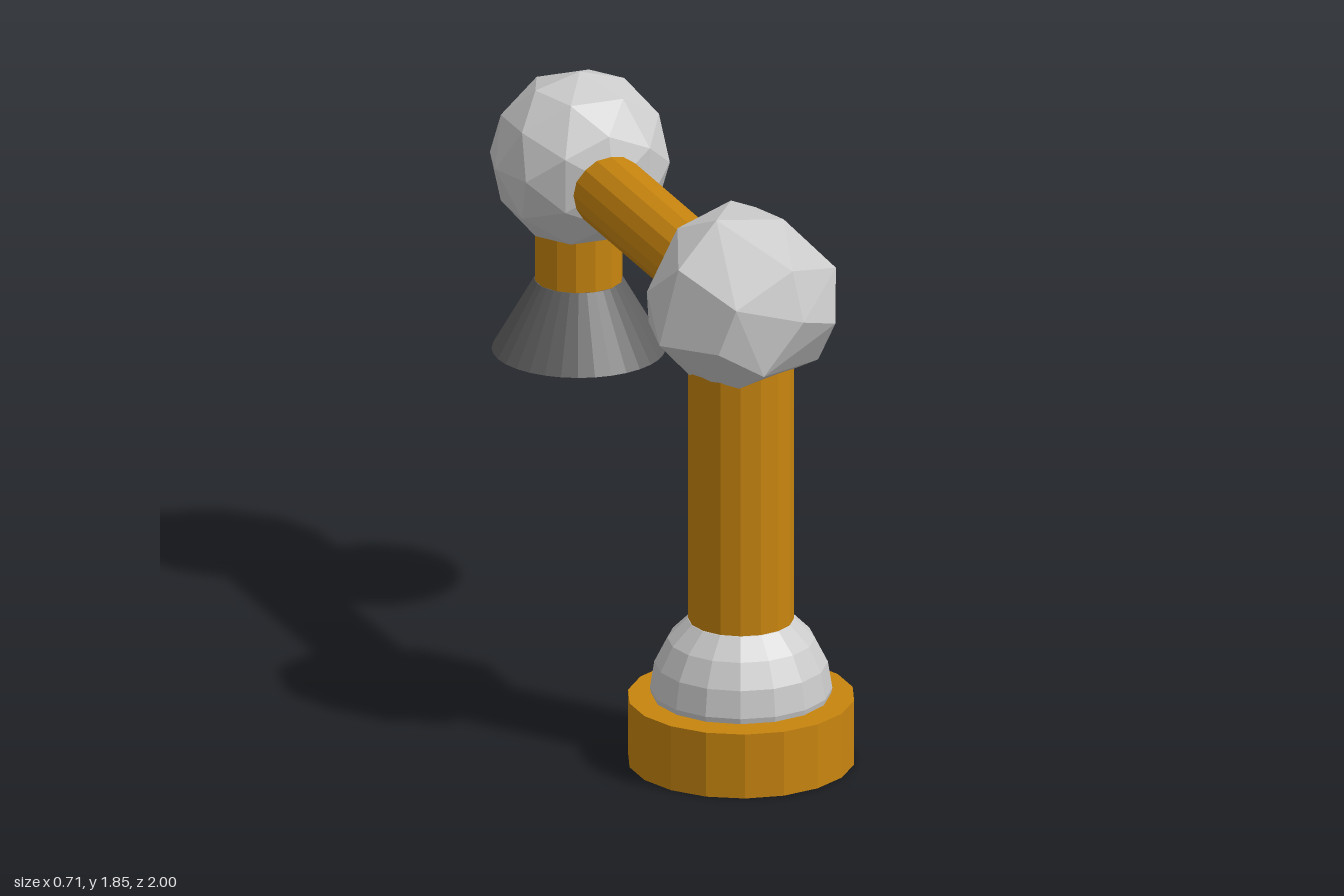
import * as THREE from 'three';
import { ConvexGeometry } from 'three/addons/geometries/ConvexGeometry.js';

const material = (color) => new THREE.MeshStandardMaterial({ color, flatShading: true });

export function createModel() {
  const model = new THREE.Group();
  model.name = 'robotArm';
  const orange = material(0xc8850f);
  const grey = material(0xcccccc);
  const dark = material(0x606060);

  const add = (name, geometry, mat, x, y, z) => {
    const mesh = new THREE.Mesh(geometry, mat);
    mesh.name = name;
    mesh.position.set(x, y, z);
    model.add(mesh);
    return mesh;
  };
  // Upright tapered cylinder between two heights
  const post = (name, rTop, rBottom, y0, y1, z, sides, mat) =>
    add(name, new THREE.CylinderGeometry(rTop, rBottom, y1 - y0, sides), mat, 0, (y0 + y1) / 2, z);

  const baseZ = 0.64, toolZ = -0.725;

  // Base plate and shoulder dome
  post('base', 0.36, 0.36, 0, 0.215, baseZ, 18, orange);
  const dome = new THREE.SphereGeometry(0.288, 16, 5, 0, Math.PI * 2, 0, Math.PI / 2);
  add('shoulderDome', dome, grey, 0, 0.24, baseZ);
  post('shoulderRim', 0.288, 0.284, 0.222, 0.24, baseZ, 16, grey);

  // Upright column
  post('column', 0.167, 0.167, 0.4, 1.4, baseZ, 16, orange);

  // Elbow: irregular faceted ball, the hull of a few corner points
  const corners = [
    [0.01, 1.84, 0.53], [0.1, 1.84, 0.75], [-0.1, 1.84, 0.68], [0.13, 1.77, 0.44],
    [0.27, 1.66, 0.77], [0.32, 1.51, 0.58], [0.23, 1.34, 0.72], [0.09, 1.56, 0.945],
    [0.24, 1.5, 0.84], [0.07, 1.72, 0.9], [-0.18, 1.47, 0.895], [-0.04, 1.39, 0.93],
    [-0.13, 1.62, 0.92], [-0.31, 1.46, 0.72], [-0.305, 1.6, 0.6], [-0.25, 1.71, 0.73],
    [-0.18, 1.78, 0.55], [0.16, 1.28, 0.6], [-0.08, 1.27, 0.73], [-0.16, 1.3, 0.6],
    [-0.17, 1.58, 0.38], [0.13, 1.55, 0.37], [0, 1.42, 0.37], [0.24, 1.62, 0.46],
    [-0.25, 1.45, 0.48], [0.19, 1.35, 0.47], [-0.12, 1.33, 0.44], [-0.02, 1.73, 0.4],
  ].map((p) => new THREE.Vector3(...p));
  add('elbowBall', new ConvexGeometry(corners), grey, 0, 0, 0);

  // Horizontal forearm
  const forearm = new THREE.CylinderGeometry(0.12, 0.12, 1.16, 16);
  add('forearm', forearm, orange, 0, 1.53, -0.02).rotation.x = Math.PI / 2;

  // Wrist ball, stem and flared tool
  add('wristBall', new THREE.IcosahedronGeometry(0.288, 1), grey, 0, 1.56, -0.715);
  post('toolStem', 0.14, 0.14, 1.14, 1.4, toolZ, 14, orange);
  post('toolCone', 0.14, 0.275, 0.915, 1.15, toolZ, 32, dark);

  return model;
}
